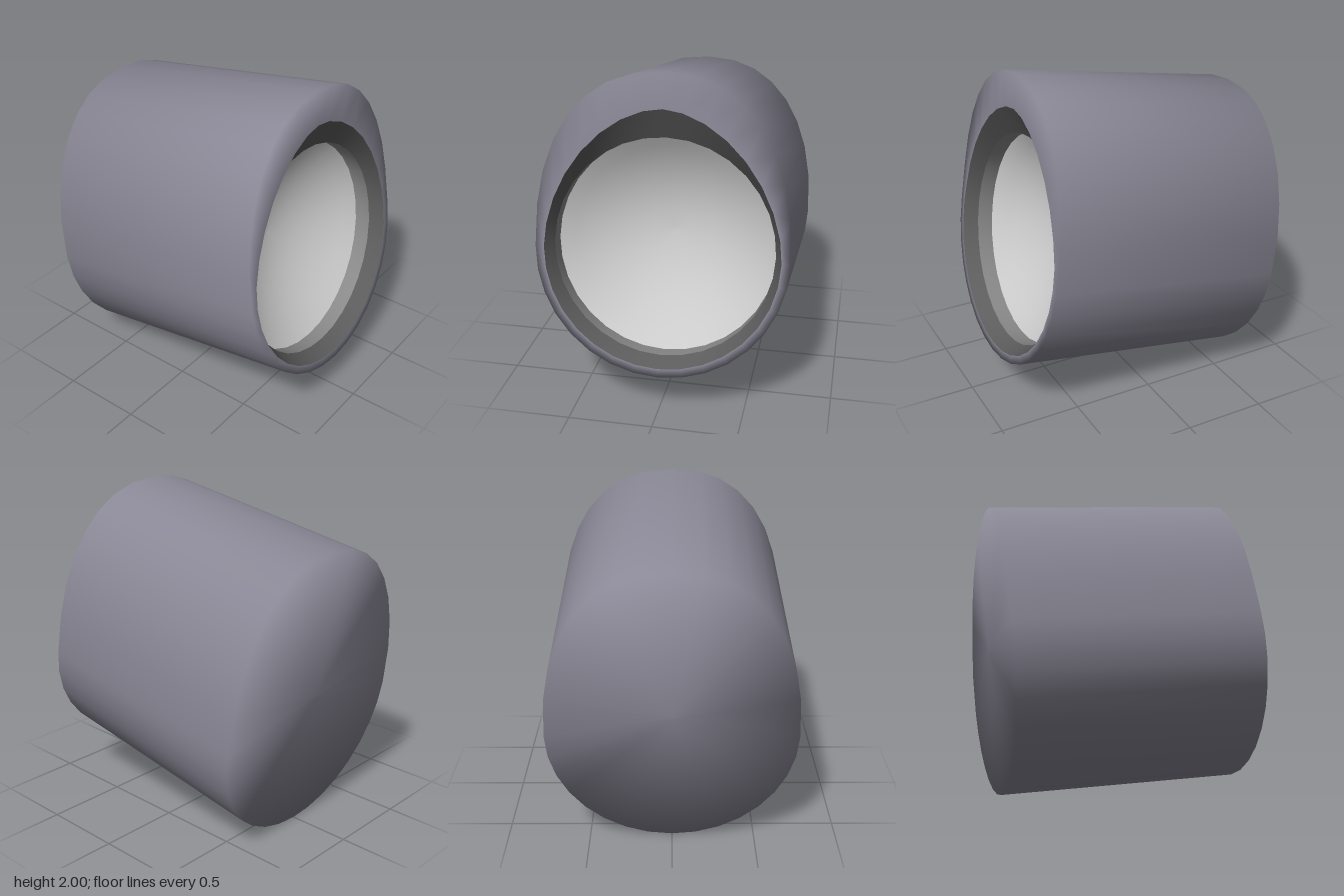
import * as THREE from 'three';

const SEG = 32;

// Closed egg-shaped loop: half ellipse below cy, half superellipse of power n above.
function ring(cy, rx, down, up, n, zAt) {
  return Array.from({ length: SEG }, (_, j) => {
    const a = (j / SEG) * Math.PI * 2;
    const c = Math.cos(a), s = Math.sin(a);
    const p = s > 0 ? 2 / n : 1;
    const x = rx * Math.sign(c) * Math.abs(c) ** p;
    const y = cy + (s > 0 ? up * s ** p : down * s);
    return [x, y, zAt(y)];
  });
}

// Smooth skin through successive loops.
function loft(name, rings, color) {
  const index = [];
  for (let i = 0; i < rings.length - 1; i++) {
    for (let j = 0; j < SEG; j++) {
      const k = (j + 1) % SEG;
      const a = i * SEG + j, b = i * SEG + k, c = b + SEG, d = a + SEG;
      index.push(a, b, c, a, c, d);
    }
  }
  const geo = new THREE.BufferGeometry();
  geo.setAttribute('position', new THREE.Float32BufferAttribute(rings.flat(2), 3));
  geo.setIndex(index);
  geo.computeVertexNormals();
  const mesh = new THREE.Mesh(geo, new THREE.MeshStandardMaterial({ color, side: THREE.DoubleSide }));
  mesh.name = name;
  return mesh;
}

export function createModel() {
  const group = new THREE.Group();
  group.name = 'lampHousing';

  // Leaning front face: square to the barrel below, steeper in the hood above
  const front = (y) => 0.71 - (y < 1.1 ? 0.162 : 0.111) * (y - 1.1);
  // The back repeats the front, slid along the barrel
  const back = (y) => front(y + 0.24) - 1.46;

  // Housing: closed back, oblique barrel, front rim that is thicker at the top
  const opening = ring(0.97, 0.69, 0.68, 0.83, 1.8, front);
  group.add(loft('housing', [
    ring(0.86, 0, 0, 0, 2, back),
    ring(0.73, 0.74, 0.73, 1.03, 2.3, back),
    ring(0.97, 0.74, 0.73, 1.03, 2.3, front),
    opening,
  ], 0x8a8896));

  // Dark sloping band between the rim and the round seat
  const seat = (y) => 0.643 - 0.16 * (y - 0.97);
  const seatEdge = ring(0.97, 0.65, 0.64, 0.64, 2, seat);
  group.add(loft('recessBand', [opening, seatEdge], 0x5c5c5c));

  // Short wall running back along the barrel to the bowl
  const inner = (y) => seat(y) - 0.1;
  group.add(loft('seatWall', [seatEdge, ring(0.955, 0.65, 0.64, 0.64, 2, inner)], 0x8a8a8a));

  // Shallow concave bowl
  const bowl = [];
  for (let i = 0; i <= 8; i++) {
    const r = 1 - i / 8;
    bowl.push(ring(0.955, 0.65 * r, 0.64 * r, 0.64 * r, 2, (y) => inner(y) - 0.25 * (1 - r * r)));
  }
  group.add(loft('reflectorBowl', bowl, 0xcccccc));

  return group;
}
